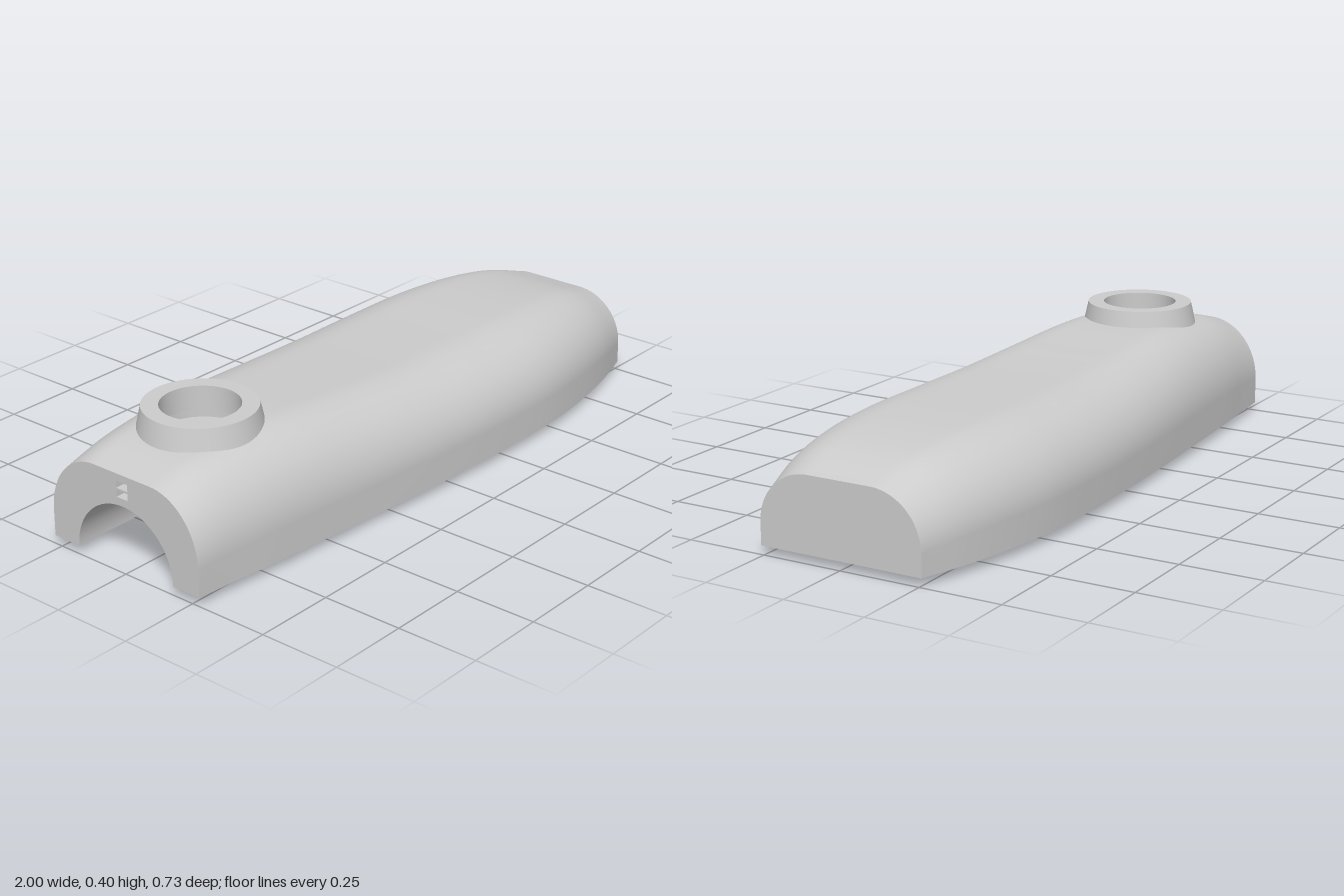
import * as THREE from 'three';
import { toCreasedNormals } from 'three/addons/utils/BufferGeometryUtils.js';

const BASE = 0.026;              // height of the flat underside
const GROOVE_R = 0.18, GROOVE_END = 0.88;
const SOCKET_X = -0.69;
const STEPS = 160;

// length stations: x, top height, half width
const stations = new THREE.CatmullRomCurve3([
  [-1, 0.30, 0.275], [-0.88, 0.331, 0.286], [-0.75, 0.346, 0.30], [-0.55, 0.353, 0.317],
  [-0.25, 0.338, 0.341], [0, 0.326, 0.356], [0.25, 0.323, 0.364], [0.5, 0.322, 0.36],
  [0.7, 0.313, 0.335], [0.85, 0.293, 0.303], [1, 0.25, 0.258],
].map(p => new THREE.Vector3(...p))).getPoints(STEPS);

// cross-section as (z, y), from the +z foot over the top to the -z foot
function section({ y: top, z: w }) {
  const flat = w * 0.385, rx = w - flat, ry = (top - BASE) * 0.7, half = [];
  half.push([w, BASE]);
  for (let i = 0; i <= 18; i++) {
    const a = (i / 18) * Math.PI / 2;
    half.push([flat + rx * Math.cos(a), top - ry + ry * Math.sin(a)]);
  }
  for (let i = 1; i < 8; i++) half.push([flat * (1 - i / 8), top]);
  return [...half, [0, top], ...half.map(([z, y]) => [-z, y]).reverse()];
}

// turn a solid into an inward-facing cavity, leaving out the faces toward its mouth
function insideOut(geo, mouth) {
  const normal = geo.attributes.normal, n = new THREE.Vector3(), kept = [];
  const old = geo.index.array;
  for (let i = 0; i < old.length; i += 3) {
    const [a, b, c] = old.slice(i, i + 3);
    if (n.fromBufferAttribute(normal, a).dot(mouth) < 0.99) kept.push(a, c, b);
  }
  geo.setIndex(kept);
  geo.clearGroups();
  normal.array.forEach((v, i, arr) => { arr[i] = -v; });
  return geo;
}

// outer skin, left open beneath the socket
function skinGeometry() {
  const pos = [], index = [];
  const rows = stations.map(s => section(s).map(([z, y]) => [s.x, y, z]));
  const n = rows[0].length;
  rows.forEach(r => r.forEach(p => pos.push(...p)));
  for (let i = 0; i < STEPS; i++) {
    for (let k = 0; k < n - 1; k++) {
      const [x, , z] = rows[i][k], [x2, , z2] = rows[i + 1][k + 1];
      if (Math.hypot((x + x2) / 2 - SOCKET_X, (z + z2) / 2) < 0.145) continue;
      const a = i * n + k, b = a + n;
      index.push(a, b, b + 1, a, b + 1, a + 1);
    }
  }
  const g = new THREE.BufferGeometry();
  g.setAttribute('position', new THREE.Float32BufferAttribute(pos, 3));
  g.setIndex(index);
  g.computeVertexNormals();
  return g;
}

function rectPath(cx, cy, w, h) {
  return new THREE.Path([[-1, -1], [1, -1], [1, 1], [-1, 1]]
    .map(([a, b]) => new THREE.Vector2(cx + a * w / 2, cy + b * h / 2)));
}

export function createModel() {
  const model = new THREE.Group();
  const grey = new THREE.MeshStandardMaterial({ color: 0xcccccc });
  grey.name = 'light grey';
  const add = (name, geo, x = 0, y = 0, z = 0) => {
    const m = new THREE.Mesh(geo, grey);
    m.name = name;
    m.position.set(x, y, z);
    model.add(m);
  };
  const toPoints = list => list.map(([a, b]) => new THREE.Vector2(a, b));
  const down = new THREE.Vector3(0, -1, 0), back = new THREE.Vector3(-1, 0, 0);

  add('bodySkin', skinGeometry());

  // solid end
  const solidEnd = new THREE.Shape(toPoints(section(stations[STEPS])));
  add('solidEnd', new THREE.ShapeGeometry(solidEnd).rotateY(Math.PI / 2), 1);

  // arched end with a small two-part port above the arch
  const archEnd = new THREE.Shape(toPoints(section(stations[0])));
  archEnd.lineTo(-GROOVE_R, BASE);
  archEnd.absarc(0, BASE, GROOVE_R, Math.PI, 0, true);
  for (const y of [0.24, 0.267]) {
    archEnd.holes.push(rectPath(0, y, 0.042, 0.021));
    add('portCavity', insideOut(new THREE.BoxGeometry(0.04, 0.021, 0.042), back), -0.98, y);
  }
  add('archedEnd', new THREE.ShapeGeometry(archEnd, 32).rotateY(-Math.PI / 2), -1);

  // half-round channel along the underside
  const length = GROOVE_END + 1;
  add('channel', insideOut(new THREE.CylinderGeometry(GROOVE_R, GROOVE_R, length, 48, 1, true, 0, Math.PI)
    .rotateZ(Math.PI / 2), down), -1 + length / 2, BASE);
  add('channelEnd', new THREE.CircleGeometry(GROOVE_R, 48, 0, Math.PI).rotateY(-Math.PI / 2), GROOVE_END, BASE);

  // underside with slots and round sockets on both sides of the channel
  const underside = new THREE.Shape(toPoints([
    ...stations.map(s => [s.x, s.z]),
    ...stations.map(s => [s.x, -s.z]).reverse(),
    [-1, -GROOVE_R], [GROOVE_END, -GROOVE_R], [GROOVE_END, GROOVE_R], [-1, GROOVE_R],
  ]));
  const depth = 0.08;
  for (const side of [1, -1]) {
    const z = side * 0.238;
    for (const [x, len] of [[0.697, 0.27], [0.058, 0.51]]) {
      underside.holes.push(rectPath(x, z, len, 0.075));
      add('slot', insideOut(new THREE.BoxGeometry(len, depth, 0.075), down), x, BASE + depth / 2, z);
    }
    for (const x of [0.437, -0.312]) {
      underside.holes.push(new THREE.Path().absarc(x, z, 0.036, 0, Math.PI * 2));
      add('pinSocket', insideOut(new THREE.CylinderGeometry(0.036, 0.036, depth, 24), down), x, BASE + depth / 2, z);
    }
    // locating rail
    add('rail', new THREE.BoxGeometry(0.375, 0.03, 0.02), 0.043, 0.015, side * 0.302);
  }
  add('underside', new THREE.ShapeGeometry(underside, 24).rotateX(Math.PI / 2), 0, BASE);

  // tapered collar with an undercut recess
  const collar = new THREE.LatheGeometry(toPoints([
    [0.186, 0.305], [0.165, 0.402], [0.115, 0.402], [0.115, 0.33], [0.13, 0.33], [0.13, 0.3], [0, 0.3],
  ]), 64);
  add('collar', toCreasedNormals(collar, 0.6), SOCKET_X);

  return model;
}
